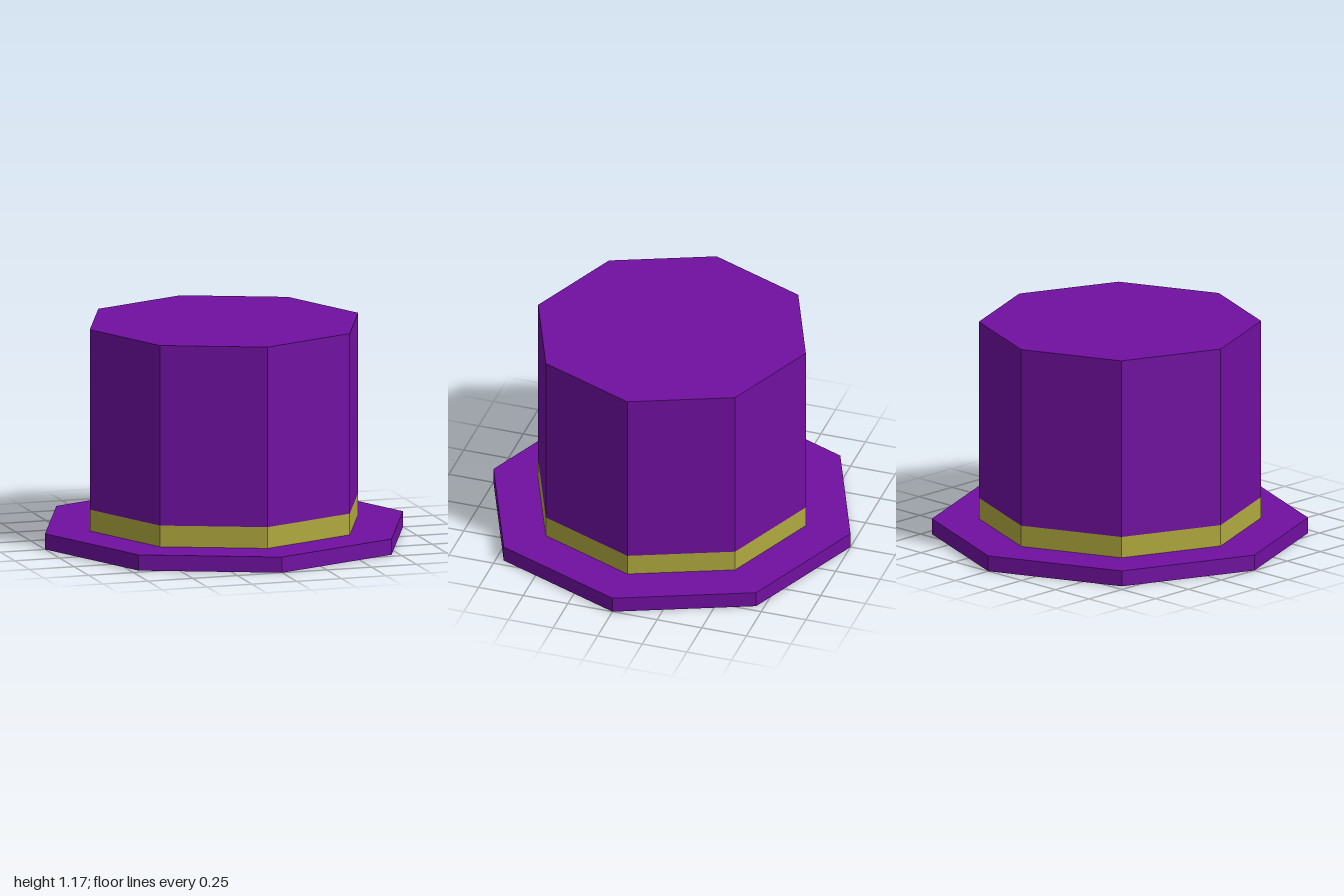
import * as THREE from 'three';

const SIDES = 8;

// Eight-sided prism standing between two heights, with a corner facing the front
function prism(name, radius, bottom, top, color, openEnded = false) {
  const geometry = new THREE.CylinderGeometry(radius, radius, top - bottom, SIDES, 1, openEnded);
  const material = new THREE.MeshStandardMaterial({ color, flatShading: true });
  const mesh = new THREE.Mesh(geometry, material);
  mesh.name = name;
  mesh.position.y = (bottom + top) / 2;
  return mesh;
}

export function createModel() {
  const purple = 0x7010a0;
  const yellow = 0xb0aa3e;
  const hat = new THREE.Group();
  hat.name = 'topHat';

  hat.add(
    prism('brim', 1, 0, 0.085, purple),
    // The band lies flush with the crown, its ends hidden by brim and crown
    prism('hatBand', 0.75, 0.085, 0.2, yellow, true),
    prism('crown', 0.75, 0.2, 1.175, purple)
  );
  return hat;
}
